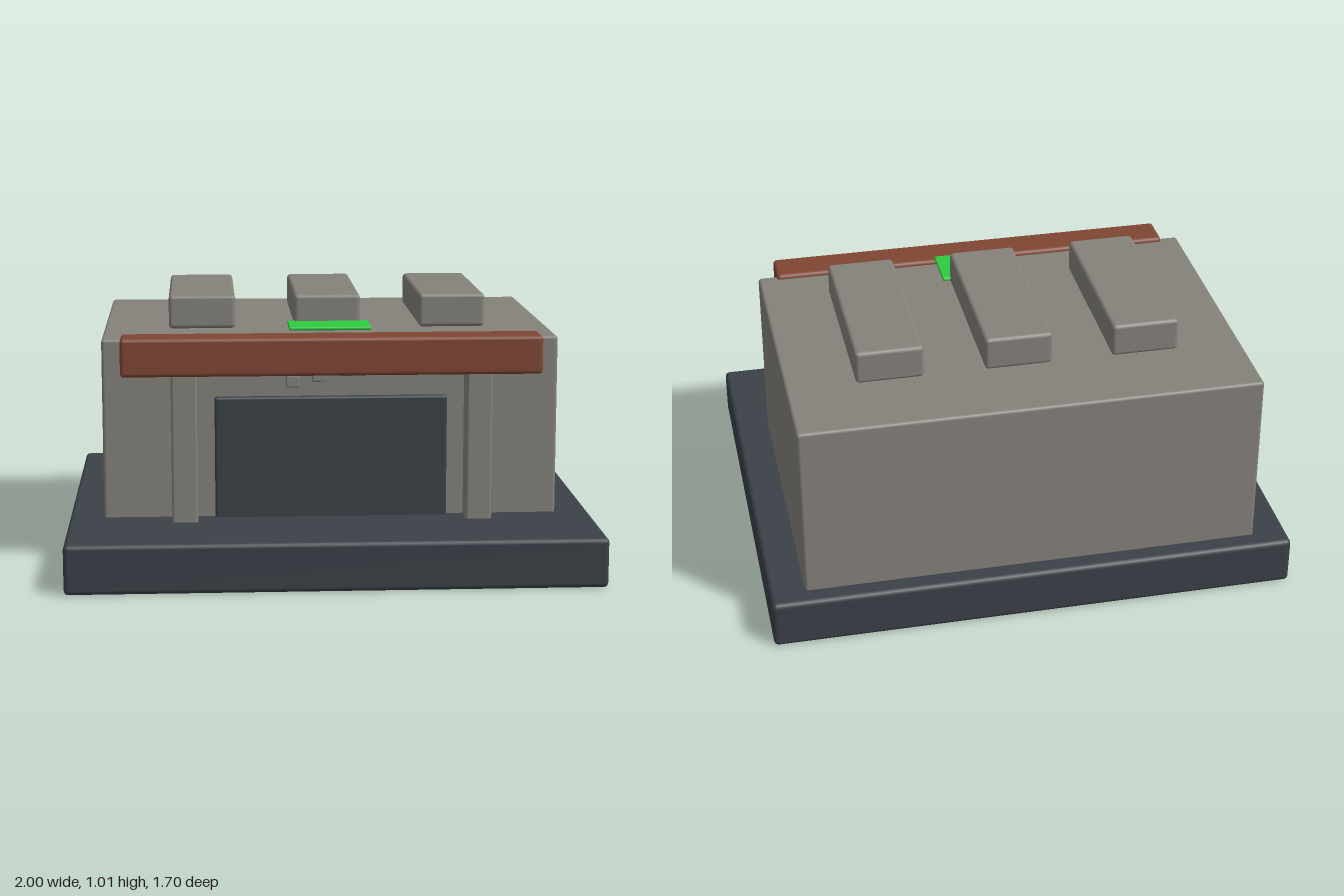
import * as THREE from 'three';
import { RoundedBoxGeometry } from 'three/addons/geometries/RoundedBoxGeometry.js';

function material(name, color) {
  const m = new THREE.MeshStandardMaterial({ color });
  m.name = name;
  return m;
}

export function createModel() {
  const stone = material('warm grey stone', 0x85827b);
  const slate = material('dark slate', 0x3b4148);
  const rust = material('rust brown', 0x804633);
  const green = material('bright green', 0x2ecc40);

  const model = new THREE.Group();
  model.name = 'building';

  // Rounded box given by its extents on each axis
  function block(name, mat, [x0, x1], [y0, y1], [z0, z1], radius) {
    const geometry = new RoundedBoxGeometry(x1 - x0, y1 - y0, z1 - z0, 2, radius);
    const mesh = new THREE.Mesh(geometry, mat);
    mesh.name = name;
    mesh.position.set((x0 + x1) / 2, (y0 + y1) / 2, (z0 + z1) / 2);
    model.add(mesh);
  }

  // Foundation and main hall
  block('foundation', slate, [-1, 1], [0, 0.187], [-0.85, 0.85], 0.018);
  block('hall', stone, [-0.868, 0.868], [0.17, 0.874], [-0.777, 0.403], 0.012);

  // Front door panel
  block('door', slate, [-0.443, 0.443], [0.175, 0.652], [0.36, 0.425], 0.01);

  // Door posts, mirrored
  for (const s of [-1, 1]) {
    const x = s * 0.558;
    block(s > 0 ? 'leftPost' : 'rightPost', stone,
      [x - 0.049, x + 0.049], [0.17, 0.79], [0.385, 0.504], 0.01);
  }

  // Lintel beam across the front
  block('lintel', rust, [-0.795, 0.795], [0.745, 0.891], [0.37, 0.516], 0.015);

  // Roof blocks
  for (const x of [-0.487, -0.002, 0.483]) {
    block('roofBlock', stone, [x - 0.128, x + 0.128], [0.884, 1.013], [-0.497, 0.204], 0.015);
  }

  // Green roof plate
  block('roofPlate', green, [-0.157, 0.157], [0.897, 0.911], [0.18, 0.371], 0.006);

  // Small rising studs above the door
  for (let i = 0; i < 3; i++) {
    const x = -0.145 + i * 0.1;
    const y = 0.711 + i * 0.021;
    block('stud', stone, [x - 0.027, x + 0.027], [y - 0.024, y + 0.024], [0.38, 0.425], 0.006);
  }

  return model;
}
